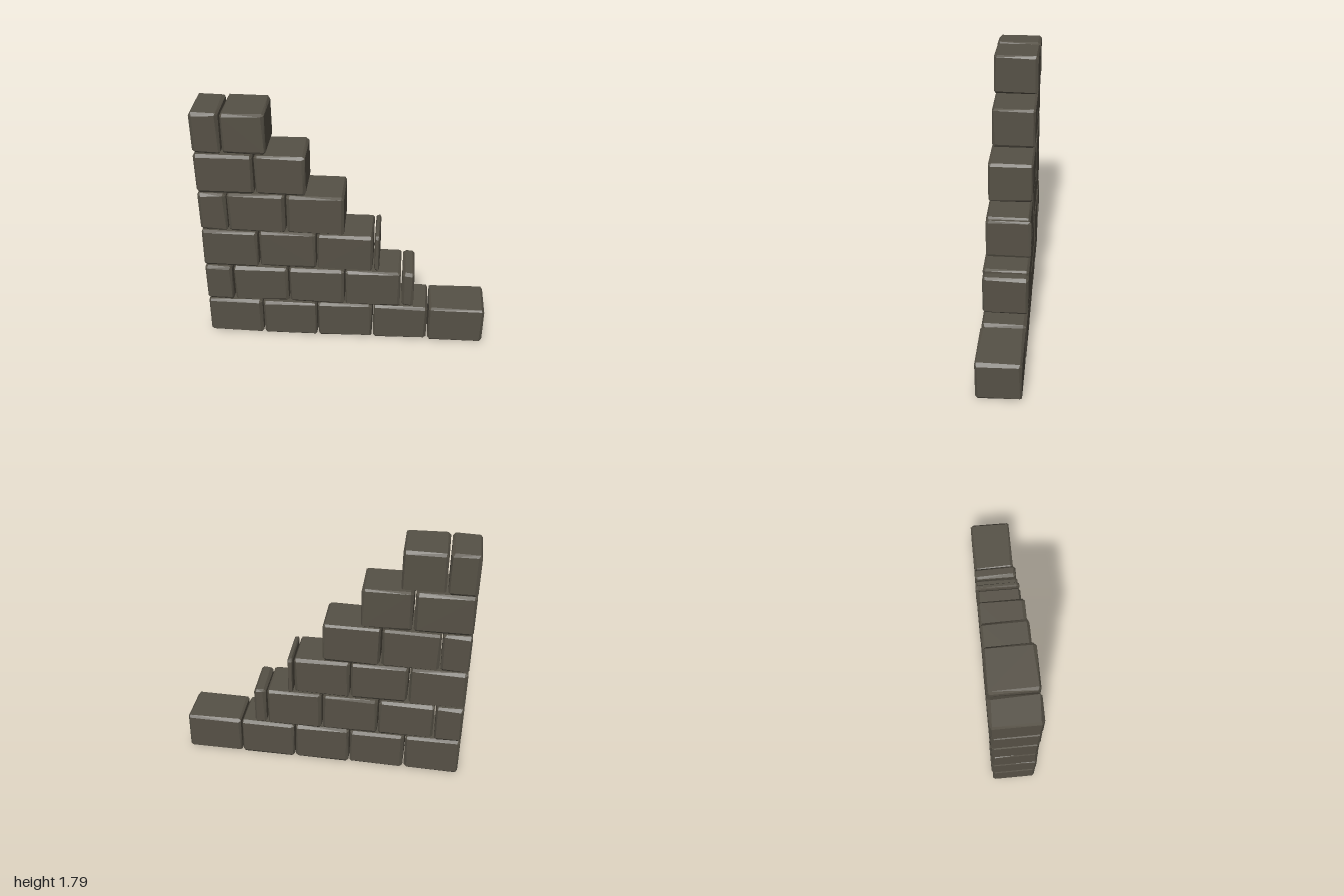
import * as THREE from 'three';
import { ConvexGeometry } from 'three/addons/geometries/ConvexGeometry.js';

// Small seeded generator for the hand-cut irregularity of the stones
function makeRandom(seed) {
  let s = seed;
  return (min, max) => {
    s = (s * 16807) % 2147483647;
    return min + (max - min) * (s / 2147483647);
  };
}

// Block with unevenly chamfered edges: three points near every corner, one on each face
function stoneGeometry(min, max, rand) {
  const points = [];
  const narrow = Math.min(1, (max[0] - min[0]) / 0.09);
  for (let corner = 0; corner < 8; corner++) {
    const high = [corner & 1, corner & 2, corner & 4];
    for (let axis = 0; axis < 3; axis++) {
      const p = [0, 1, 2].map((k) => {
        const cut = k === axis ? 0 : rand(0.01, 0.024) * (k === 0 ? narrow : 1);
        return high[k] ? max[k] - cut : min[k] + cut;
      });
      points.push(new THREE.Vector3(...p));
    }
  }
  return new ConvexGeometry(points);
}

export function createModel() {
  const group = new THREE.Group();
  group.name = 'steppedStoneWall';
  const stone = new THREE.MeshStandardMaterial({ color: 0x565146, flatShading: true });
  stone.name = 'dark stone';
  const rand = makeRandom(4711);

  // Start of each block, then the end of the course
  const courses = [
    [-1, -0.6, -0.2, 0.2, 0.6, 1],
    [-1, -0.8, -0.4, 0, 0.4, 0.495],
    [-1, -0.6, -0.2, 0.2, 0.245],
    [-1, -0.8, -0.4, 0],
    [-1, -0.6, -0.255],
    [-1, -0.8, -0.505],
  ];
  const pitch = 0.3, gap = 0.008;

  courses.forEach((edges, row) => {
    const course = new THREE.Group();
    course.name = `course${row + 1}`;
    for (let i = 0; i < edges.length - 1; i++) {
      const y = row * pitch;
      const min = [edges[i] + (i ? rand(0, 0.004) : 0), y + (row ? rand(0.002, 0.008) : 0), -rand(0.152, 0.162)];
      const max = [edges[i + 1] - gap + rand(-0.003, 0.001), y + pitch - gap + rand(-0.002, 0.004), rand(0.15, 0.159)];
      if (row === 0 && i === edges.length - 2) max[0] = 1;
      const block = new THREE.Mesh(stoneGeometry(min, max, rand), stone);
      block.name = `block${row + 1}_${i + 1}`;
      course.add(block);
    }
    group.add(course);
  });
  return group;
}
